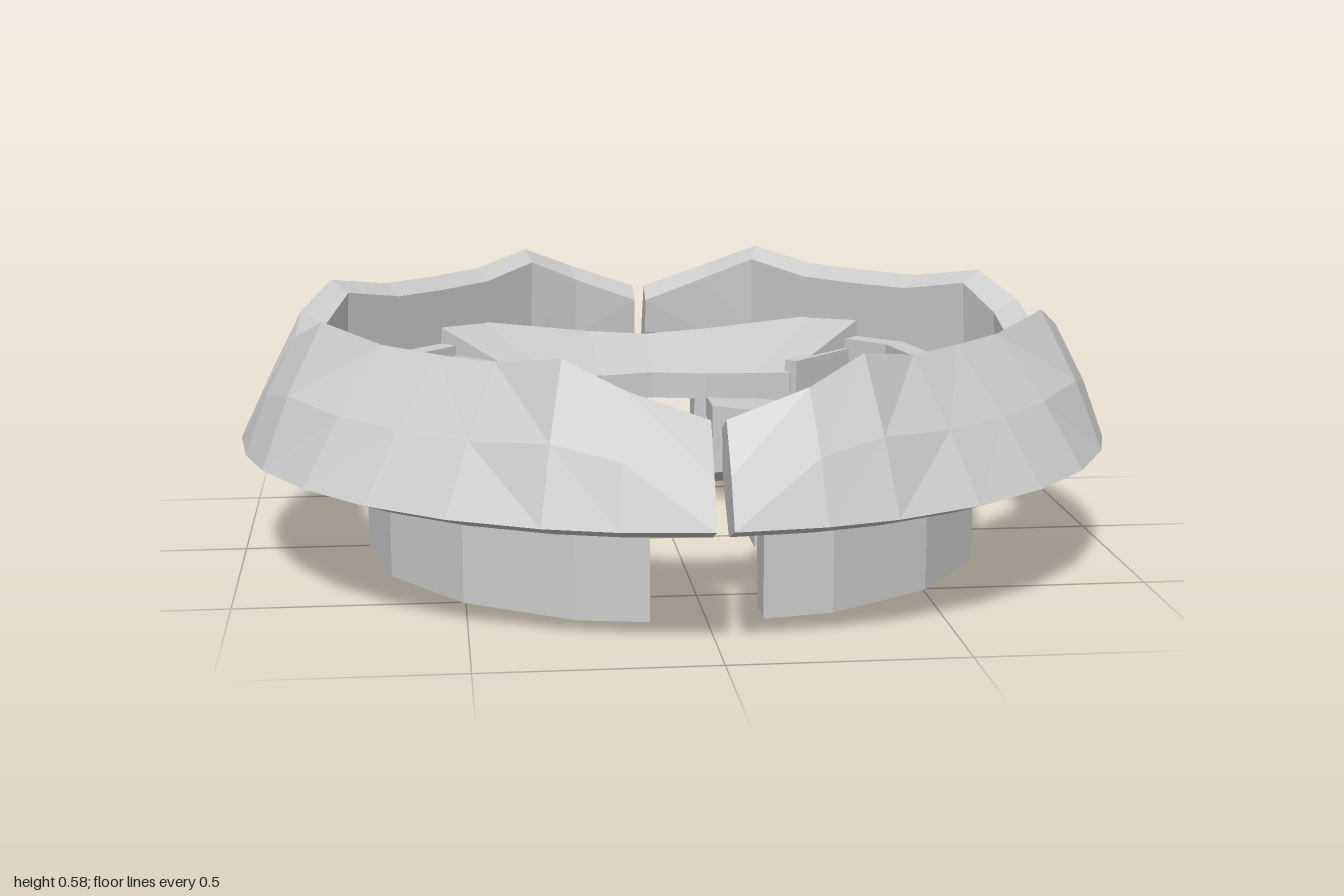
import * as THREE from 'three';

const material = new THREE.MeshStandardMaterial({ color: 0xcccccc, flatShading: true, side: THREE.DoubleSide });

// Closed solid through a row of cross-sections (each a loop of [x, y, z] points),
// with the diagonals mirrored about the middle
function loft(sections) {
  const n = sections[0].length, last = sections.length - 1;
  const index = [];
  for (let i = 0; i < last; i++) {
    for (let j = 0; j < n; j++) {
      const k = (j + 1) % n;
      const a = i * n + j, b = (i + 1) * n + j, c = (i + 1) * n + k, d = i * n + k;
      if (i < last / 2) index.push(a, b, c, a, c, d);
      else index.push(a, b, d, b, c, d);
    }
  }
  for (let j = 1; j < n - 1; j++) {
    index.push(0, j, j + 1, last * n, last * n + j + 1, last * n + j);
  }
  const g = new THREE.BufferGeometry();
  g.setAttribute('position', new THREE.Float32BufferAttribute(sections.flat(2), 3));
  g.setIndex(index);
  const flat = g.toNonIndexed();
  flat.computeVertexNormals();
  return flat;
}

// Angle is in degrees, measured from +z towards +x
function polar(r, y, deg) {
  const t = THREE.MathUtils.degToRad(deg);
  return [r * Math.sin(t), y, r * Math.cos(t)];
}

// Quarter of the sloping rim: [angle, top outer radius, top inner radius, top height]
function rimQuarter() {
  const half = [
    [1, 0.88, 0.82, 0.47], [12, 0.885, 0.825, 0.53], [21, 0.855, 0.81, 0.585],
    [33, 0.797, 0.757, 0.555], [45, 0.78, 0.74, 0.553],
  ];
  const rows = [...half, ...half.slice(0, 4).reverse().map(([t, ...rest]) => [90 - t, ...rest])];
  return loft(rows.map(([t, ro, ri, y]) => [
    polar(1, 0.27, t),
    polar((1 + ro) / 2 + 0.01, (0.27 + y) / 2, t),
    polar(ro, y, t),
    polar(ri, y - 0.03, t),
    polar(ri + 0.01, 0.35, t),
    polar(0.92, 0.24, t),
  ]));
}

// Tilted plate, rising outwards and towards its corners
function platform() {
  const half = [
    { out: [0, 0.37, 0.7], inn: [0, 0.31, 0.47] },
    { out: [0.15, 0.38, 0.7], inn: [0.13, 0.31, 0.44] },
    { out: [0.43, 0.42, 0.64], inn: [0.25, 0.32, 0.38] },
    { out: [0.54, 0.43, 0.53], inn: [0.33, 0.33, 0.33] },
  ];
  const flip = ([x, y, z]) => [-x, y, z];
  const rows = [
    ...half.slice(1).reverse().map((s) => ({ out: flip(s.out), inn: flip(s.inn) })),
    ...half,
  ];
  const lower = ([x, y, z], d) => [x, y - d, z];
  return loft(rows.map(({ out, inn }) => [lower(out, 0.05), out, inn, lower(inn, 0.065)]));
}

// Ring arc on the +x side: 16-sided, cut straight where x = cut
function cutArc(ro, ri, y0, y1, cut) {
  const corner = (r, k) => [r * Math.cos(k * Math.PI / 8), r * Math.sin(k * Math.PI / 8)];
  const edge = (r) => {
    let k = 1;
    while (corner(r, k + 1)[0] > cut) k++;
    const [a, b] = [corner(r, k), corner(r, k + 1)];
    const f = (a[0] - cut) / (a[0] - b[0]);
    const z = a[1] + (b[1] - a[1]) * f;
    const points = [[cut, -z]];
    for (let i = -k; i <= k; i++) points.push(corner(r, i));
    points.push([cut, z]);
    return points;
  };
  const outline = [...edge(ro), ...edge(ri).reverse()].map((p) => new THREE.Vector2(...p));
  const g = new THREE.ExtrudeGeometry(new THREE.Shape(outline), { depth: y1 - y0, bevelEnabled: false });
  return g.rotateX(-Math.PI / 2).translate(0, y0, 0);
}

// Raised band between the two plates, following their outer outline
function sideBand() {
  const rows = [[45, 0.757], [56, 0.765], [78, 0.716], [102, 0.716], [124, 0.765], [135, 0.757]];
  return loft(rows.map(([t, r]) => [
    polar(r, 0.29, t), polar(r, 0.385, t), polar(r - 0.06, 0.385, t), polar(r - 0.06, 0.29, t),
  ]));
}

// Box from its minimum and maximum corners
function block([x0, y0, z0], [x1, y1, z1]) {
  return new THREE.BoxGeometry(x1 - x0, y1 - y0, z1 - z0)
    .translate((x0 + x1) / 2, (y0 + y1) / 2, (z0 + z1) / 2);
}

export function createModel() {
  const model = new THREE.Group();
  const add = (name, geometry, angle) => {
    const mesh = new THREE.Mesh(geometry, material);
    mesh.name = name;
    mesh.rotation.y = angle;
    model.add(mesh);
  };

  // Four rim quarters and the radial walls under the plate edges
  const rim = rimQuarter();
  const wall = block([0.47, 0.24, -0.018], [0.7, 0.36, 0.018]);
  for (let i = 0; i < 4; i++) {
    add('rimQuarter', rim, i * Math.PI / 2);
    add('radialWall', wall, (i + 0.5) * Math.PI / 2);
  }

  // Mirrored pairs
  const pairs = {
    platform: platform(),
    sideBand: sideBand(),
    baseArc: cutArc(0.715, 0.66, 0, 0.24, 0.12),
    innerArcTop: cutArc(0.49, 0.35, 0.2, 0.25, 0.135),
    innerArcWall: cutArc(0.39, 0.35, 0.09, 0.2, 0.135),
  };
  // Inward hooks on the base ends and caps on the inner arc ends
  for (const side of [-1, 1]) {
    const z = (a, b) => (side > 0 ? [a, b] : [-b, -a]);
    const [h0, h1] = z(0.59, 0.65), [c0, c1] = z(0.36, 0.44);
    pairs[side > 0 ? 'frontBaseHook' : 'backBaseHook'] = block([0.12, 0, h0], [0.15, 0.24, h1]);
    pairs[side > 0 ? 'frontInnerCap' : 'backInnerCap'] = block([0.135, 0.09, c0], [0.175, 0.2, c1]);
  }
  for (const [name, geometry] of Object.entries(pairs)) {
    add(name, geometry, 0);
    add(name, geometry, Math.PI);
  }
  return model;
}
